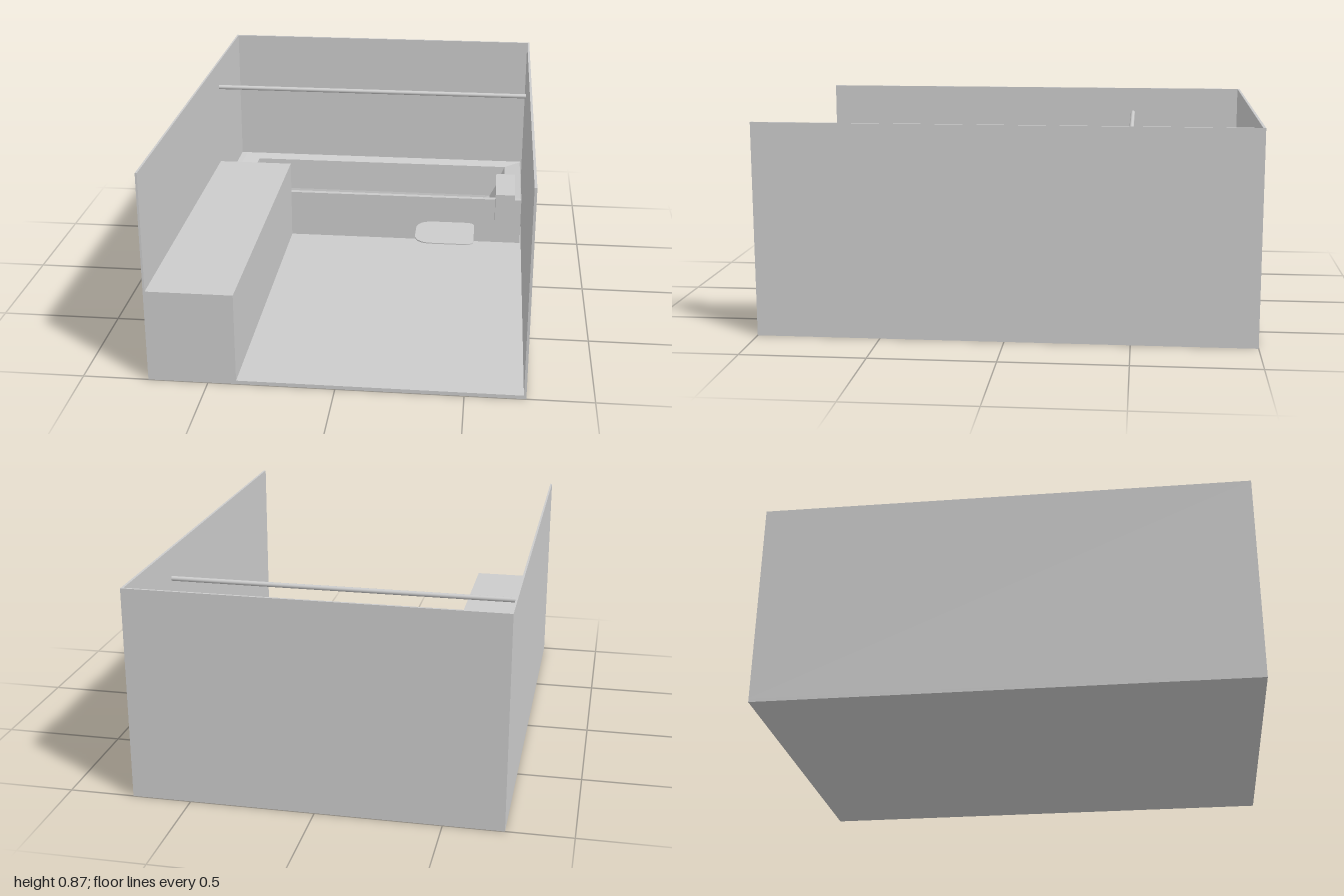
import * as THREE from 'three';

const material = new THREE.MeshStandardMaterial({ color: 0xcccccc, side: THREE.DoubleSide });

export function createModel() {
  const room = new THREE.Group();
  room.name = 'bathroom';

  const add = (name, geometry, parent = room) => {
    const mesh = new THREE.Mesh(geometry, material);
    mesh.name = name;
    parent.add(mesh);
    return mesh;
  };
  // Box given by its limits on each axis
  const box = (name, x0, x1, y0, y1, z0, z1) =>
    add(name, new THREE.BoxGeometry(x1 - x0, y1 - y0, z1 - z0))
      .position.set((x0 + x1) / 2, (y0 + y1) / 2, (z0 + z1) / 2);
  // Cylinder lying along x
  const rod = (name, x0, x1, y, z, r0, r1, parent) => {
    const g = new THREE.CylinderGeometry(r1, r0, x1 - x0, 16).rotateZ(-Math.PI / 2);
    add(name, g, parent).position.set((x0 + x1) / 2, y, z);
  };

  // Shell, open at the front and the top
  box('floor', -0.738, 0.738, 0, 0.015, -1, 1);
  box('leftWall', 0.728, 0.738, 0.015, 0.867, -1, 1);
  box('rightWall', -0.738, -0.73, 0.015, 0.867, -1, 1);
  box('backWall', -0.73, 0.728, 0.015, 0.867, -1, -0.99);

  // Long counter and curtain rail
  box('counter', -0.73, -0.388, 0.015, 0.383, -0.45, 1);
  rod('curtainRail', -0.73, 0.72, 0.747, -0.484, 0.01, 0.01);

  // Bathtub: rectangular rings from the apron over the rim to the basin floor
  const rings = [ // x0, x1, z0, z1, y
    [-0.73, 0.722, -0.989, -0.453, 0.015],
    [-0.73, 0.722, -0.989, -0.453, 0.228],
    [-0.73, 0.722, -0.989, -0.45, 0.228],
    [-0.73, 0.722, -0.989, -0.45, 0.237],
    [-0.705, 0.718, -0.985, -0.48, 0.235],
    [-0.632, 0.64, -0.942, -0.503, 0.222],
    [-0.628, 0.6, -0.938, -0.507, 0.12],
    [-0.626, 0.57, -0.936, -0.509, 0.065],
    [-0.622, 0.52, -0.932, -0.513, 0.045],
  ].map(([x0, x1, z0, z1, y]) => [[x0, y, z1], [x1, y, z1], [x1, y, z0], [x0, y, z0]]);
  const points = [];
  const quad = (a, b, c, d) => points.push(...a, ...b, ...c, ...a, ...c, ...d);
  for (let i = 0; i < rings.length - 1; i++) {
    for (let j = 0; j < 4; j++) {
      const k = (j + 1) % 4;
      quad(rings[i][j], rings[i][k], rings[i + 1][k], rings[i + 1][j]);
    }
  }
  quad(...rings[rings.length - 1]);
  const tub = new THREE.BufferGeometry();
  tub.setAttribute('position', new THREE.Float32BufferAttribute(points, 3));
  tub.computeVertexNormals();
  add('bathtub', tub);

  // Tub taps: curved spout, round plate and two cross handles
  const taps = new THREE.Group();
  taps.name = 'taps';
  room.add(taps);
  const path = new THREE.CatmullRomCurve3([
    [-0.73, 0.25], [-0.68, 0.262], [-0.62, 0.26], [-0.58, 0.247], [-0.565, 0.228],
  ].map(([x, y]) => new THREE.Vector3(x, y, -0.734)));
  add('spout', new THREE.TubeGeometry(path, 24, 0.011, 12), taps);
  rod('overflowPlate', -0.629, -0.621, 0.18, -0.734, 0.035, 0.032, taps);
  for (const z of [-0.83, -0.642]) {
    rod('handleBase', -0.63, -0.615, 0.18, z, 0.02, 0.013, taps);
    rod('handleStem', -0.615, -0.568, 0.18, z, 0.01, 0.007, taps);
    for (const turn of [0, Math.PI / 2]) {
      const bar = add('handleBar', new THREE.CylinderGeometry(0.006, 0.006, 0.044, 10), taps);
      bar.position.set(-0.576, 0.18, z);
      bar.rotation.x = turn;
    }
  }

  // Toilet seat: a thin plate, rounder at its front end
  const x0 = 0.231, x1 = 0.503, z0 = -0.364, z1 = -0.112;
  const corners = [[x0, z0, 0.085], [x1, z0, 0.04], [x1, z1, 0.04], [x0, z1, 0.085]];
  const seat = new THREE.Shape();
  corners.forEach(([x, z, r], i) => {
    const [px, pz] = corners[(i + 3) % 4], [nx, nz] = corners[(i + 1) % 4];
    const ax = x + Math.sign(px - x) * r, az = z + Math.sign(pz - z) * r;
    if (i) seat.lineTo(ax, az); else seat.moveTo(ax, az);
    seat.quadraticCurveTo(x, z, x + Math.sign(nx - x) * r, z + Math.sign(nz - z) * r);
  });
  seat.closePath();
  const plate = new THREE.ExtrudeGeometry(seat, { depth: 0.005, bevelEnabled: false, curveSegments: 10 });
  add('toiletSeat', plate.rotateX(Math.PI / 2)).position.y = 0.147;
  box('toiletCistern', 0.597, 0.684, 0.216, 0.4, -0.367, -0.1);

  return room;
}
